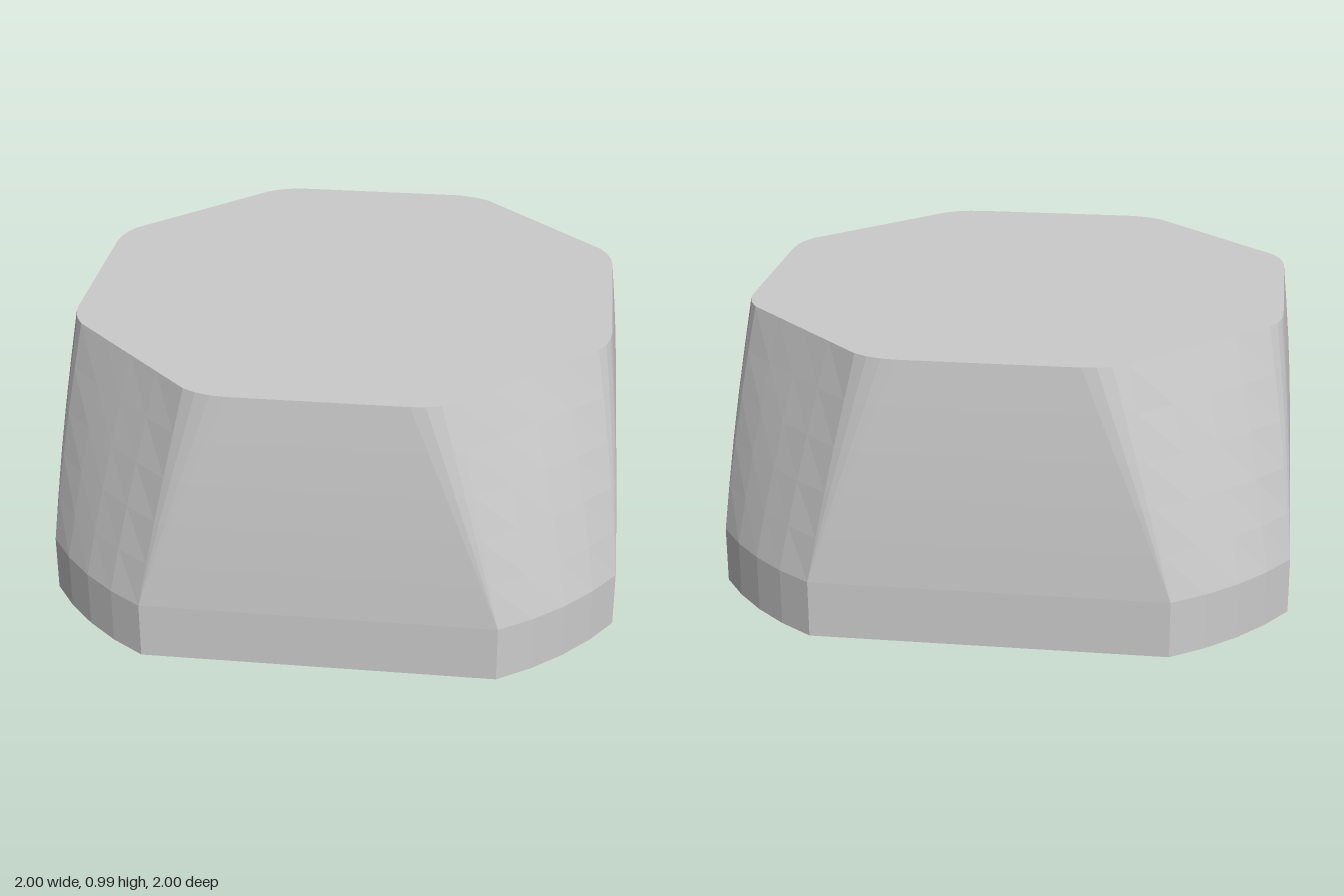
import * as THREE from 'three';

const BASE_RADIUS = 1.172, SKIRT = 0.2, HEIGHT = 0.985, STEPS = 5;

// Matching base/top outline points of one corner, ordered from the +x side to the +z side
function cornerOutline() {
  const fillet = [[0.94, 0.3], [0.935, 0.35], [0.92, 0.4], [0.895, 0.445]];
  const pairs = fillet.map((top) => ({ base: [1, 0.61], top }));
  const start = Math.atan2(0.61, 1), end = Math.PI / 2 - start;
  for (let i = 1; i < 4; i++) {
    const a = start + (end - start) * i / 4;
    const k = 0.45 * i / 4;
    pairs.push({
      base: [BASE_RADIUS * Math.cos(a), BASE_RADIUS * Math.sin(a)],
      top: [0.895 - k, 0.445 + k],
    });
  }
  for (const [x, z] of [...fillet].reverse()) pairs.push({ base: [0.61, 1], top: [z, x] });
  return pairs;
}

// The corner repeated by quarter turns
function fullOutline() {
  const out = [];
  for (let q = 0; q < 4; q++) {
    const turn = ([x, z]) => [[x, z], [-z, x], [-x, -z], [z, -x]][q];
    for (const p of cornerOutline()) out.push({ base: turn(p.base), top: turn(p.top) });
  }
  return out;
}

function bodyGeometry() {
  const outline = fullOutline(), n = outline.length;
  const ring = (y, t) => outline.map(({ base, top }) => {
    const swell = 1 + 0.007 * Math.sin(Math.PI * t);
    return new THREE.Vector3(
      (base[0] + (top[0] - base[0]) * t) * swell, y,
      (base[1] + (top[1] - base[1]) * t) * swell);
  });
  // Straight skirt, then a slightly swelling taper
  const rings = [ring(0, 0)];
  for (let i = 0; i <= STEPS; i++) {
    const t = i / STEPS;
    rings.push(ring(SKIRT + (HEIGHT - SKIRT) * t, t));
  }
  const pos = [];
  const tri = (a, b, c) => {
    if (a.distanceTo(b) < 1e-6 || b.distanceTo(c) < 1e-6 || a.distanceTo(c) < 1e-6) return;
    for (const v of [a, b, c]) pos.push(v.x, v.y, v.z);
  };
  for (let r = 0; r < rings.length - 1; r++) {
    for (let i = 0; i < n; i++) {
      const j = (i + 1) % n, lo = rings[r], hi = rings[r + 1];
      tri(lo[i], hi[i], hi[j]);
      tri(lo[i], hi[j], lo[j]);
    }
  }
  // Flat top and bottom
  const bottom = rings[0], top = rings[rings.length - 1];
  const bottomMid = new THREE.Vector3(0, 0, 0), topMid = new THREE.Vector3(0, HEIGHT, 0);
  for (let i = 0; i < n; i++) {
    const j = (i + 1) % n;
    tri(bottomMid, bottom[i], bottom[j]);
    tri(topMid, top[j], top[i]);
  }
  const geo = new THREE.BufferGeometry();
  geo.setAttribute('position', new THREE.Float32BufferAttribute(pos, 3));
  geo.computeVertexNormals();
  return geo;
}

export function createModel() {
  const group = new THREE.Group();
  group.name = 'taperedBlock';
  const material = new THREE.MeshStandardMaterial({ color: 0xcccccc, flatShading: true });
  const body = new THREE.Mesh(bodyGeometry(), material);
  body.name = 'body';
  group.add(body);
  return group;
}
